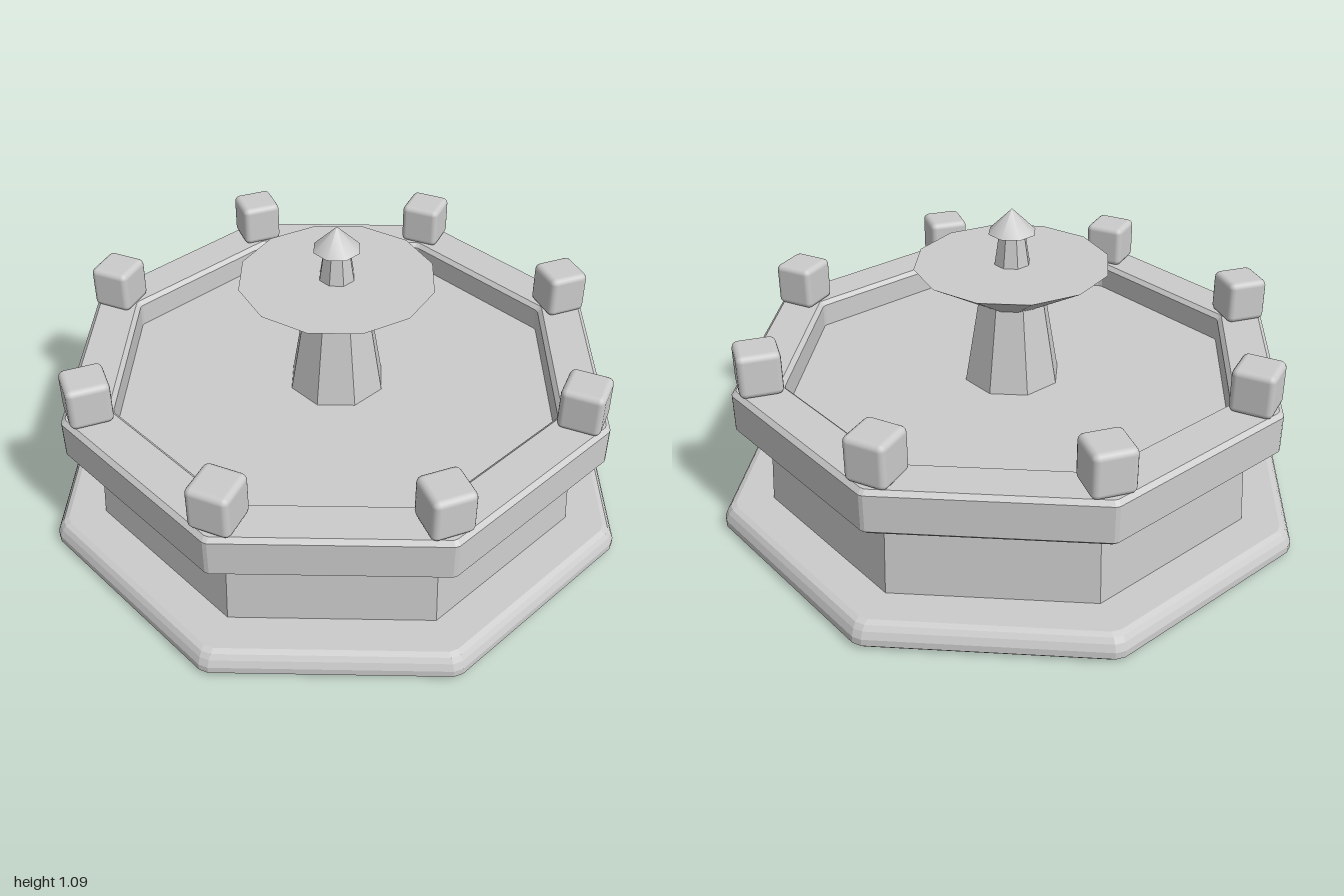
import * as THREE from 'three';
import { RoundedBoxGeometry } from 'three/addons/geometries/RoundedBoxGeometry.js';

const flat = new THREE.MeshStandardMaterial({ color: 0xcccccc, flatShading: true });
const smooth = new THREE.MeshStandardMaterial({ color: 0xcccccc });
const TURN = Math.PI / 8; // turns an eight-sided part so its flats face the axes
const COS = Math.cos(TURN);

// Octagonal solid from a profile of [apothem, y]; corners are cut back by chop
function octagonLoft(profile, chop) {
  const pos = [], index = [], n = 16;
  for (const [a, y] of profile) {
    const half = Math.max(a * Math.tan(TURN) - chop, 0);
    for (let s = 0; s < 8; s++) {
      const t = s * Math.PI / 4;
      for (const u of [-half, half]) {
        pos.push(a * Math.sin(t) + u * Math.cos(t), y, a * Math.cos(t) - u * Math.sin(t));
      }
    }
  }
  for (let i = 0; i < profile.length - 1; i++) {
    for (let j = 0; j < n; j++) {
      const a = i * n + j, b = i * n + (j + 1) % n;
      index.push(a, b, b + n, a, b + n, a + n);
    }
  }
  const g = new THREE.BufferGeometry();
  g.setAttribute('position', new THREE.Float32BufferAttribute(pos, 3));
  g.setIndex(index);
  const out = g.toNonIndexed();
  out.computeVertexNormals();
  return out;
}

export function createModel() {
  const root = new THREE.Group();
  root.name = 'fountain';
  const add = (name, geometry, y = 0, material = flat) => {
    const m = new THREE.Mesh(geometry, material);
    m.name = name;
    m.position.y = y;
    root.add(m);
    return m;
  };
  // Tapered frustum between two heights
  const frustum = (name, rTop, rBottom, y0, y1, sides, turn, material) =>
    add(name, new THREE.CylinderGeometry(rTop, rBottom, y1 - y0, sides, 1, false, turn), (y0 + y1) / 2, material);

  // Stepped base with rounded upper edge
  add('base', octagonLoft([
    [0, 0], [0.985, 0], [1, 0.015], [1, 0.04], [0.99, 0.065], [0.978, 0.082], [0.96, 0.09], [0, 0.09],
  ], 0.018));

  // Basin wall, whose top is the water level
  frustum('basinWall', 0.812 / COS, 0.832 / COS, 0.09, 0.45, 8, TURN);

  // Bevelled rim ring
  add('rim', octagonLoft([
    [0.775, 0.39], [0.915, 0.39], [0.928, 0.403], [0.928, 0.535], [0.913, 0.55],
    [0.775, 0.55], [0.76, 0.535], [0.76, 0.405], [0.775, 0.39],
  ], 0.008));

  // Corner blocks on the rim
  const block = new RoundedBoxGeometry(0.15, 0.16, 0.15, 2, 0.022);
  for (let i = 0; i < 8; i++) {
    const t = TURN + i * Math.PI / 4;
    const m = add('cornerBlock' + (i + 1), block, 0.628, smooth);
    m.position.x = 0.905 * Math.sin(t);
    m.position.z = 0.905 * Math.cos(t);
    m.rotation.y = t;
  }

  // Central pedestal, bowl, upper post and finial
  frustum('pedestal', 0.123, 0.177, 0.44, 0.76, 8, TURN);
  frustum('bowl', 0.345, 0.115, 0.75, 0.89, 12, 0);
  frustum('upperPost', 0.046, 0.065, 0.885, 1.01, 8, TURN);
  frustum('finial', 0, 0.085, 1.005, 1.09, 8, TURN, smooth);

  return root;
}
